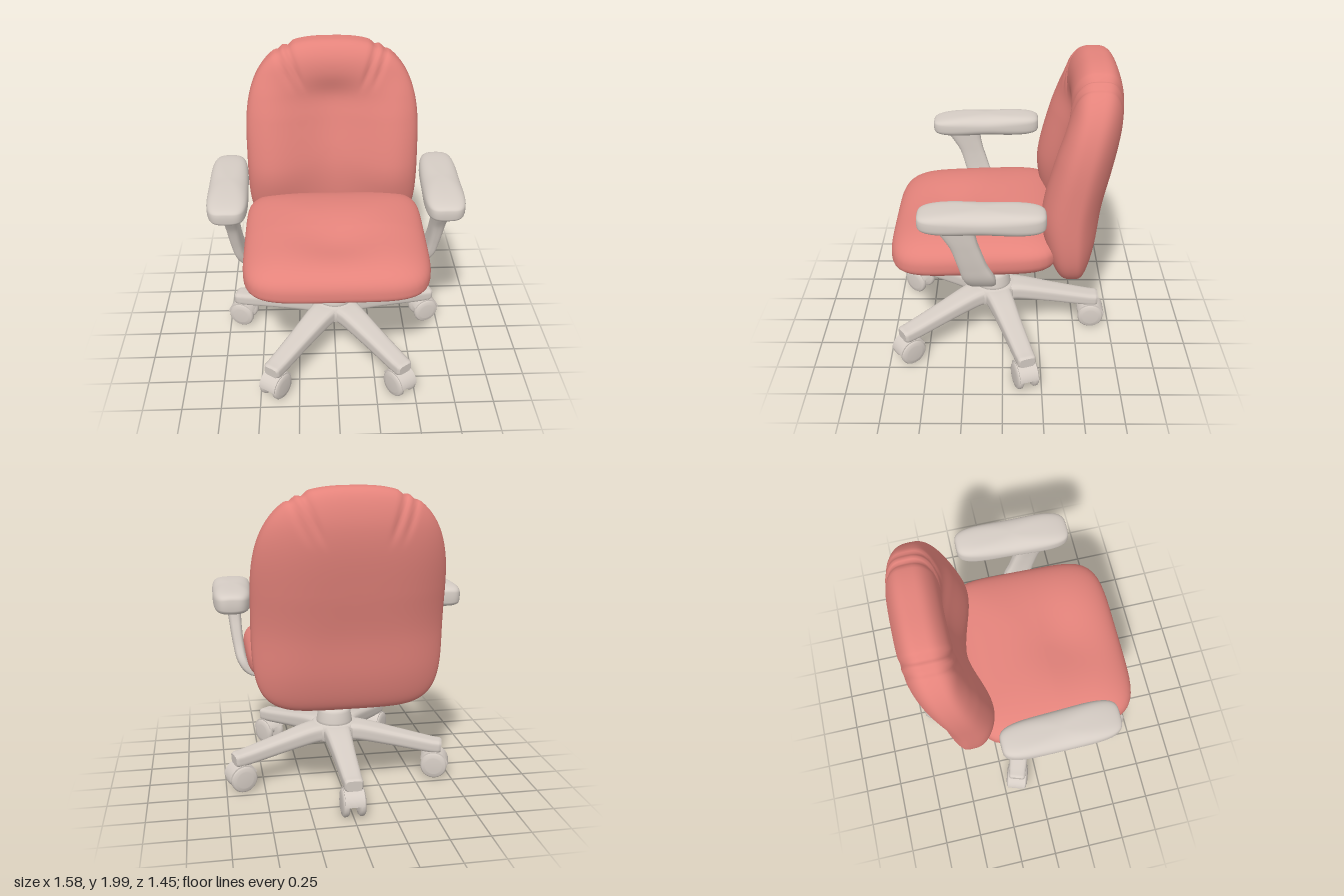
import * as THREE from 'three';
import { mergeVertices } from 'three/addons/utils/BufferGeometryUtils.js';

const V = (x, y, z) => new THREE.Vector3(x, y, z);

// Smooth curve through [position, value] pairs
function curve(pts) {
  const slope = (i) => {
    const a = pts[Math.max(i - 1, 0)], b = pts[Math.min(i + 1, pts.length - 1)];
    return (b[1] - a[1]) / (b[0] - a[0]);
  };
  return (p) => {
    p = Math.min(Math.max(p, pts[0][0]), pts[pts.length - 1][0]);
    let i = 0;
    while (i < pts.length - 2 && p > pts[i + 1][0]) i++;
    const h = pts[i + 1][0] - pts[i][0], t = (p - pts[i][0]) / h, s = 1 - t;
    return pts[i][1] * s * s * (1 + 2 * t) + pts[i + 1][1] * t * t * (3 - 2 * t)
      + h * (slope(i) * t * s * s - slope(i + 1) * t * t * s);
  };
}

// Padded form: a sphere reshaped into a rounded outline (u, v) with bulge t from -1 to 1.
// Outline exponent and bulge may vary with the sine of the angle round the outline.
function cushion(segs, rows, exponent, bulge, rule) {
  let g = new THREE.SphereGeometry(1, segs, rows);
  const p = g.attributes.position;
  for (let i = 0; i < p.count; i++) {
    const a = Math.atan2(p.getZ(i), p.getX(i)), c = Math.cos(a), s = Math.sin(a);
    const y = Math.min(Math.max(p.getY(i), -1), 1);
    const q = Math.acos(Math.abs(y)) / (Math.PI / 2);
    const r = 1 - (1 - q) ** 2;
    const n = exponent(s), b = bulge(s);
    const k = r / (Math.abs(c) ** n + Math.abs(s) ** n) ** (1 / n);
    const t = Math.sign(y) * Math.max(0, 1 - r ** b) ** (1 / b);
    p.setXYZ(i, ...rule(k * c, k * s, t));
  }
  g.deleteAttribute('uv');
  g.deleteAttribute('normal');
  g = mergeVertices(g, 1e-5);
  g.computeVertexNormals();
  return g;
}

// Rounded bar through rows of [x, y, z, half width along side, half thickness]
function loft(rows, side, steps = 24, n = 4, sides = 28) {
  const path = new THREE.CatmullRomCurve3(rows.map((r) => V(r[0], r[1], r[2])));
  const size = new THREE.CatmullRomCurve3(rows.map((r) => V(r[3], r[4], 0)));
  const rings = [[0, 0], [0, 1]];
  for (let i = 0; i <= steps; i++) rings.push([i / steps, 1]);
  rings.push([1, 1], [1, 0]);
  const pos = [], idx = [];
  rings.forEach(([t, k], i) => {
    const c = path.getPoint(t), s = size.getPoint(t);
    const nrm = path.getTangent(t).cross(side).normalize();
    for (let j = 0; j < sides; j++) {
      const a = (j / sides) * Math.PI * 2, ca = Math.cos(a), sa = Math.sin(a);
      const m = k / (Math.abs(ca) ** n + Math.abs(sa) ** n) ** (1 / n);
      const q = c.clone().addScaledVector(side, m * ca * s.x).addScaledVector(nrm, m * sa * s.y);
      pos.push(q.x, q.y, q.z);
      if (i < rings.length - 1) {
        const a0 = i * sides + j, a1 = i * sides + (j + 1) % sides;
        idx.push(a0, a1, a1 + sides, a0, a1 + sides, a0 + sides);
      }
    }
  });
  const g = new THREE.BufferGeometry();
  g.setAttribute('position', new THREE.Float32BufferAttribute(pos, 3));
  g.setIndex(idx);
  g.computeVertexNormals();
  return g;
}

const lathe = (pts, segs = 40) => new THREE.LatheGeometry(pts.map((p) => new THREE.Vector2(...p)), segs);

export function createModel() {
  const model = new THREE.Group();
  const upholstery = new THREE.MeshStandardMaterial({ color: 0xe4837b });
  upholstery.name = 'redUpholstery';
  const plastic = new THREE.MeshStandardMaterial({ color: 0xd6cdc5 });
  plastic.name = 'warmGreyPlastic';
  const add = (parent, name, geometry, material) => {
    const m = new THREE.Mesh(geometry, material);
    m.name = name;
    parent.add(m);
    return m;
  };

  // Seat cushion with a shallow dip
  add(model, 'seat', cushion(96, 48, (s) => (s < 0 ? 6.5 : 5), () => 2.7, (u, v, t) => {
    const x = 0.586 * u, z = 0.175 + 0.53 * v, mid = 0.86 - 0.035 * v;
    const top = 1.04 - 0.02 * Math.max(v, 0) - 0.055 * Math.exp(-((x / 0.28) ** 2) - ((z - 0.33) / 0.22) ** 2);
    return [x, t > 0 ? mid + t * (top - mid) : mid + t * (mid - 0.725), z];
  }), upholstery);

  // Backrest: winged sides, head roll and gathered creases at the top
  const mid = curve([[0.65, -0.44], [0.9, -0.425], [1.2, -0.42], [1.6, -0.48], [2, -0.56]]);
  const front = curve([[0.65, -0.35], [1, -0.325], [1.2, -0.335], [1.5, -0.405], [1.65, -0.435], [1.8, -0.395], [1.9, -0.385], [2, -0.4]]);
  const wing = curve([[0.65, 0.03], [1.05, 0.11], [1.2, 0.125], [1.5, 0.125], [1.65, 0.11], [1.8, 0.03], [2, 0]]);
  const rear = curve([[0.65, -0.56], [0.87, -0.59], [1.13, -0.615], [1.4, -0.67], [1.77, -0.735], [2, -0.74]]);
  const backBulge = (s) => 3.1 + (s > 0 ? 1.4 : 0.2) * s * s;
  add(model, 'backrest', cushion(220, 60, (s) => (s < 0 ? 2.75 : 5), backBulge, (u, v, t) => {
    const x = 0.58 * u;
    let y = 1.325 - 0.675 * v;
    const m = mid(y);
    const f = front(y) + wing(y) * THREE.MathUtils.smoothstep(Math.abs(x), 0, 0.48);
    const b = rear(y) + 0.08 * u ** 4;
    let z = m + (t > 0 ? t * (f - m) : t * (m - b));
    const line = 0.19 + 0.35 * (y - 1.68);
    const crease = Math.exp(-(((Math.abs(x) - line) / 0.022) ** 2))
      + 0.8 * Math.exp(-(((Math.abs(x) - line - 0.075) / 0.022) ** 2));
    const k = 0.1 * crease * THREE.MathUtils.smoothstep(y, 1.66, 1.82);
    y -= k * (y - 1.75);
    z -= k * (z + 0.57);
    return [x, y, z];
  }), upholstery);

  // Padded pan and mounting plate below the seat
  const pan = add(model, 'seatPan', new THREE.CylinderGeometry(0.27, 0.2, 0.05, 4, 1).rotateY(Math.PI / 4), upholstery);
  pan.position.set(0, 0.705, 0.18);
  const plate = add(model, 'mountingPlate', new THREE.CylinderGeometry(0.19, 0.14, 0.06, 4, 1).rotateY(Math.PI / 4), plastic);
  plate.position.set(0, 0.695, 0.07);

  // Tilt knob leaning forward
  const knob = add(model, 'tiltKnob', lathe([[0, -0.08], [0.06, -0.08], [0.068, -0.072], [0.068, 0.09], [0, 0.09]]), plastic);
  knob.position.set(0, 0.615, 0.225);
  knob.rotation.x = -0.34;

  // Armrests: pad and curved support on each side
  for (const s of [-1, 1]) {
    const arm = new THREE.Group();
    arm.name = s > 0 ? 'leftArmrest' : 'rightArmrest';
    model.add(arm);
    add(arm, 'armPad', cushion(96, 32, () => 4, (a) => 2.5 + 2.5 * a * a, (u, v, t) => {
      const x = s * (0.664 - 0.01 * v) + u * (0.123 + 0.007 * v);
      const top = 0.074 - 0.024 * Math.max(v, 0) ** 2;
      return [x, 1.262 + t * (t > 0 ? top : 0.07), 0.12 + 0.37 * v];
    }), plastic);
    add(arm, 'armSupport', loft([
      [0.65, 1.23, 0.29, 0.13, 0.048], [0.648, 1.15, 0.26, 0.1, 0.045], [0.643, 1.05, 0.22, 0.083, 0.04],
      [0.63, 0.92, 0.18, 0.085, 0.036], [0.61, 0.82, 0.145, 0.095, 0.034], [0.565, 0.75, 0.125, 0.085, 0.028],
      [0.48, 0.718, 0.12, 0.075, 0.022], [0.31, 0.715, 0.12, 0.06, 0.015],
    ].map(([x, ...r]) => [s * x, ...r]), V(0, 0, 1), 40), plastic);
  }

  // Gas column with stepped collars
  const base = new THREE.Group();
  base.name = 'base';
  base.position.z = 0.068;
  model.add(base);
  add(base, 'lowerCollar', lathe([[0.05, 0.34], [0.125, 0.34], [0.12, 0.38], [0.11, 0.44], [0.1, 0.46], [0.075, 0.465]]), plastic);
  add(base, 'column', new THREE.CylinderGeometry(0.08, 0.08, 0.24, 40), plastic).position.y = 0.47;
  add(base, 'upperCollar', lathe([[0.07, 0.545], [0.09, 0.545], [0.1, 0.555], [0.1, 0.69], [0, 0.69]]), plastic);
  add(base, 'hub', lathe([[0.055, 0.355], [0.055, 0.25], [0.14, 0.25], [0.165, 0.27], [0.165, 0.34], [0.14, 0.365], [0.055, 0.365]]), plastic);

  // Hood over the caster wheels
  const sector = new THREE.Shape();
  sector.absarc(0, 0, 0.097, 0.1, 2.7, false);
  sector.absarc(0, 0, 0.055, 2.7, 0.1, true);
  const hood = new THREE.ExtrudeGeometry(sector, { depth: 0.12, bevelEnabled: false, curveSegments: 20 })
    .translate(0, 0, -0.06).rotateY(-Math.PI / 2);
  const wheel = lathe([[0, -0.025], [0.055, -0.025], [0.06, -0.02], [0.078, -0.02], [0.088, -0.01], [0.088, 0.01],
    [0.078, 0.02], [0.06, 0.02], [0.055, 0.025], [0, 0.025]], 32).rotateZ(Math.PI / 2);

  // Five legs, each with a twin-wheel caster
  const legShape = loft([
    [0, 0.309, 0.075, 0.1, 0.056], [0, 0.304, 0.18, 0.085, 0.056], [0, 0.267, 0.41, 0.07, 0.049],
    [0, 0.224, 0.67, 0.06, 0.043], [0, 0.221, 0.715, 0.058, 0.041], [0, 0.22, 0.732, 0.048, 0.034],
  ], V(1, 0, 0), 30, 5);
  for (let i = 0; i < 5; i++) {
    const leg = new THREE.Group();
    leg.name = 'leg' + (i + 1);
    leg.rotation.y = Math.PI + (i * Math.PI * 2) / 5;
    base.add(leg);
    add(leg, 'spoke', legShape, plastic);
    const caster = new THREE.Group();
    caster.name = 'caster';
    caster.position.set(0, 0.095, 0.685);
    leg.add(caster);
    for (const s of [-1, 1]) add(caster, 'wheel', wheel, plastic).position.set(s * 0.05, 0, 0);
    add(caster, 'hood', hood, plastic);
    add(caster, 'axle', new THREE.CylinderGeometry(0.035, 0.035, 0.1, 20).rotateZ(Math.PI / 2), plastic);
    add(caster, 'stem', new THREE.CylinderGeometry(0.024, 0.024, 0.12, 20), plastic).position.y = 0.06;
  }
  return model;
}
